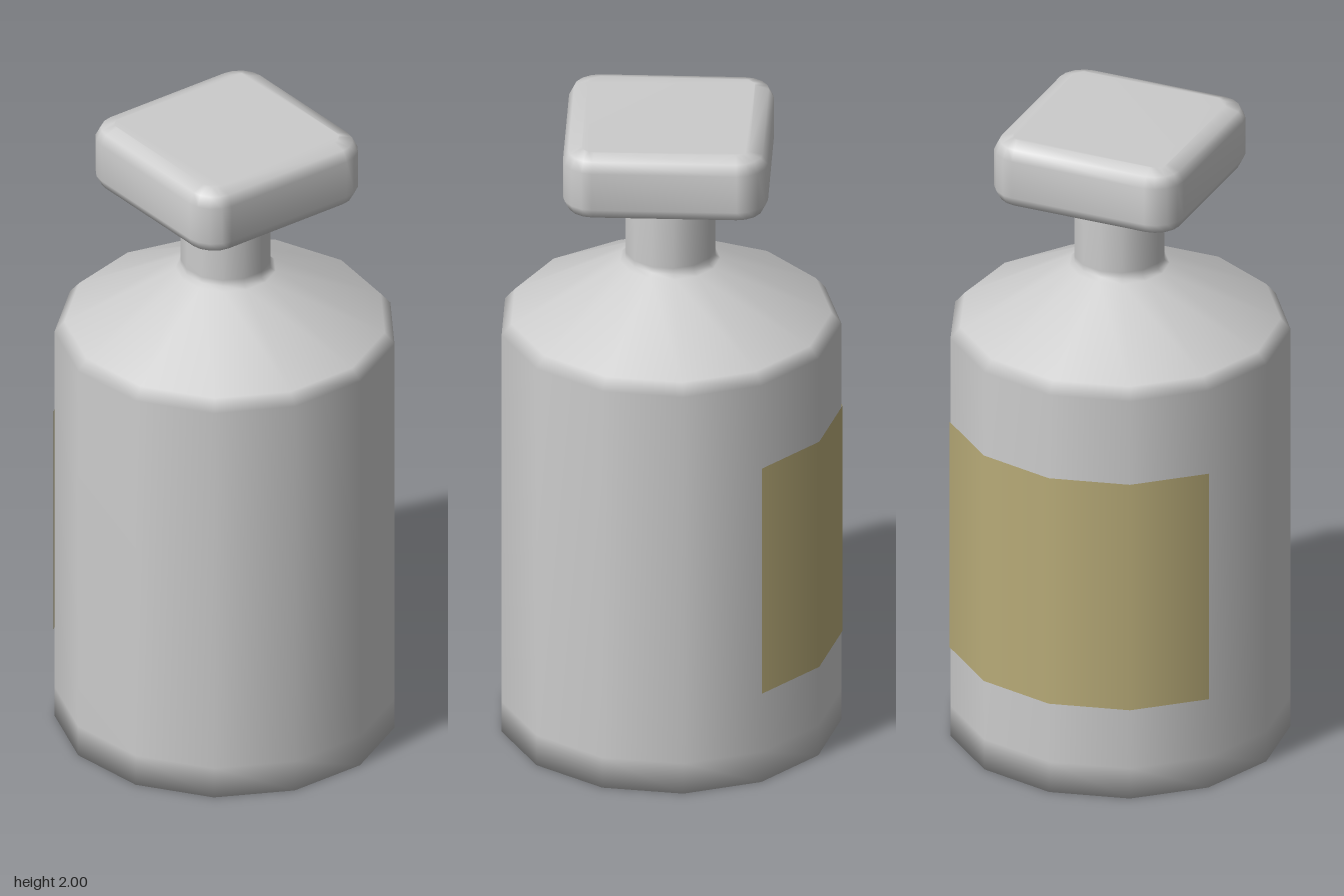
import * as THREE from 'three';
import { mergeVertices } from 'three/addons/utils/BufferGeometryUtils.js';

const SIDES = 13;
const STEP = (Math.PI * 2) / SIDES;
const CENTER_Z = 0.006;

function part(name, geometry, color = 0xcccccc, side = THREE.FrontSide) {
  const mesh = new THREE.Mesh(geometry, new THREE.MeshStandardMaterial({ color, side }));
  mesh.name = name;
  return mesh;
}

// Turned part with one corner pointing straight back
function turned(profile) {
  const points = profile.map(([r, y]) => new THREE.Vector2(r, y));
  return new THREE.LatheGeometry(points, SIDES, Math.PI, Math.PI * 2);
}

// Soft square block: rounded outline, bevelled top and bottom, smooth normals
function softBlock(half, height, corner, bevelOut, bevelUp) {
  const h = half - bevelOut;
  const r = corner - bevelOut;
  const k = h - r;
  const shape = new THREE.Shape();
  for (let i = 0; i < 4; i++) {
    const a = (i * Math.PI) / 2;
    const cx = k * (i === 0 || i === 3 ? 1 : -1);
    const cy = k * (i < 2 ? 1 : -1);
    shape.absarc(cx, cy, r, a, a + Math.PI / 2, false);
  }
  const extruded = new THREE.ExtrudeGeometry(shape, {
    depth: height - bevelUp * 2,
    curveSegments: 2,
    bevelEnabled: true,
    bevelSize: bevelOut,
    bevelThickness: bevelUp,
    bevelSegments: 2,
  });
  extruded.translate(0, 0, bevelUp);
  extruded.rotateX(-Math.PI / 2);
  extruded.deleteAttribute('uv');
  extruded.deleteAttribute('normal');
  const smooth = mergeVertices(extruded, 1e-4);
  smooth.computeVertexNormals();
  return smooth;
}

export function createModel() {
  const model = new THREE.Group();
  model.name = 'bottle';

  // Bottle body with shoulder, neck and rim
  const body = part('body', turned([
    [0, 0], [0.51, 0], [0.51, 0.1], [0.51, 1.32], [0.48, 1.355],
    [0.15, 1.53], [0.135, 1.54], [0.135, 1.56], [0.135, 1.73], [0.132, 1.737], [0, 1.737],
  ]));
  body.position.z = CENTER_Z;

  // Amber stopper between neck and cap
  const stopper = part('stopper', turned([
    [0.11, 1.73], [0.118, 1.745], [0.118, 1.77], [0.113, 1.80],
  ]), 0xb87a0a);
  stopper.position.z = CENTER_Z;

  // Square cap
  const cap = part('cap', softBlock(0.305, 0.21, 0.095, 0.055, 0.045));
  cap.position.set(0, 1.79, 0.01);

  // Paper label wrapped over the four rear faces
  const label = part(
    'label',
    new THREE.CylinderGeometry(0.513, 0.513, 0.75, 4, 1, true, Math.PI - 2 * STEP, 4 * STEP),
    0xb8ab78,
    THREE.DoubleSide,
  );
  label.position.set(0, 0.67, CENTER_Z);

  model.add(body, stopper, cap, label);
  return model;
}
